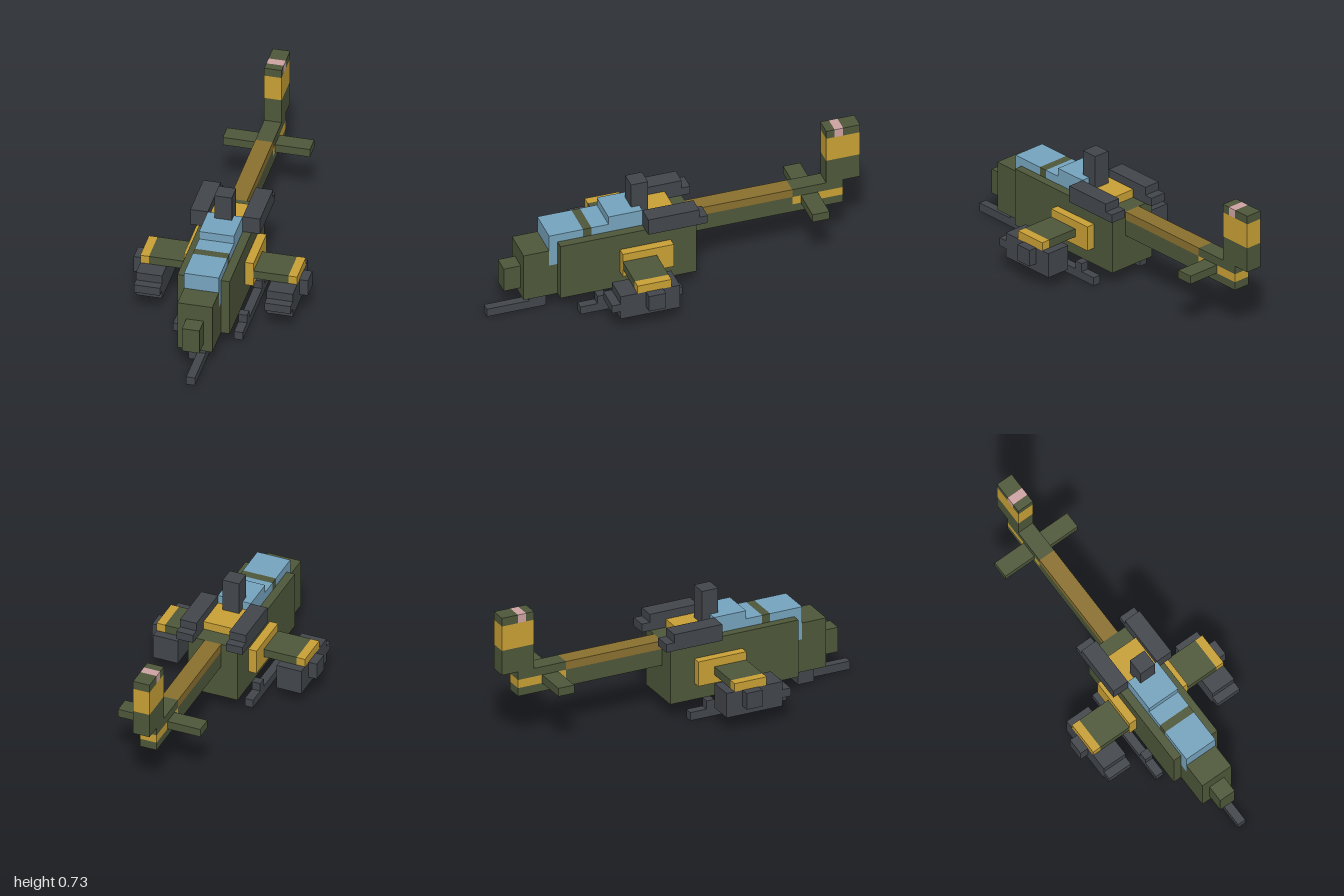
import * as THREE from 'three';

const U = 1 / 22; // one block

const paint = (name, color) => {
  const m = new THREE.MeshStandardMaterial({ color });
  m.name = name;
  return m;
};

export function createModel() {
  const green = paint('olive green', 0x4e573a);
  const dark = paint('gunmetal', 0x42464b);
  const yellow = paint('ochre yellow', 0xc8a035);
  const brown = paint('boom brown', 0x8a702f);
  const blue = paint('glass blue', 0x76a4be);
  const pink = paint('beacon pink', 0xcfa3a3);

  const model = new THREE.Group();
  model.name = 'helicopter';

  // Box given by its lower and upper limits, in blocks
  const box = (name, mat, [x0, x1], [y0, y1], [z0, z1]) => {
    const mesh = new THREE.Mesh(
      new THREE.BoxGeometry((x1 - x0) * U, (y1 - y0) * U, (z1 - z0) * U), mat);
    mesh.position.set((x0 + x1) / 2 * U, (y0 + y1) / 2 * U, (z0 + z1) / 2 * U);
    mesh.name = name;
    model.add(mesh);
  };
  // Same box on both sides
  const pair = (name, mat, [x0, x1], y, z) => {
    box(name + 'Left', mat, [x0, x1], y, z);
    box(name + 'Right', mat, [-x1, -x0], y, z);
  };

  // Fuselage and nose
  box('fuselage', green, [-3, 3], [2, 9], [-2, 14]);
  box('noseRear', green, [-2, 2], [2, 6], [14, 15]);
  box('nose', green, [-2, 2], [2, 8], [15, 18]);
  box('noseSensor', green, [-1, 1], [3, 6], [18, 20]);

  // Canopy with a dividing frame
  box('windscreen', blue, [-2, 2], [6, 10], [14, 15]);
  box('frontCanopy', blue, [-2, 2], [9, 10], [11, 14]);
  box('canopyFrame', green, [-2, 2], [9, 10], [10, 11]);
  box('midCanopy', blue, [-2, 2], [9, 10], [8, 10]);
  box('rearCanopy', blue, [-2, 2], [9, 11], [4, 8]);

  // Engine deck, rotor mast and engines
  box('engineDeck', yellow, [-2, 2], [9, 10], [0, 4]);
  box('rotorMast', dark, [-1, 1], [10, 14], [3, 5]);
  pair('engine', dark, [2, 4], [9, 11], [-2, 4]);
  pair('exhaust', dark, [2, 4], [9, 10], [-3, -2]);

  // Chin gun
  box('gunMount', dark, [-1, 1], [0, 2], [15, 17]);
  box('gunBarrel', dark, [0, 1], [0, 1], [17, 22]);

  // Stub wings with weapon pods
  pair('wingRoot', yellow, [3, 4], [4, 7], [1, 7]);
  pair('wing', green, [4, 8], [5, 6], [3, 7]);
  pair('wingTip', yellow, [8, 9], [5, 6], [3, 7]);
  pair('pod', dark, [6, 9], [2, 5], [2, 9]);
  pair('podNose', dark, [6, 9], [3, 4], [9, 10]);
  pair('podSide', dark, [9, 10], [3, 5], [4, 6]);

  // Landing skids
  pair('skid', dark, [3, 4], [0, 1], [0, 12]);
  for (const z of [2, 9]) pair('skidStrut', dark, [3, 4], [1, 2], [z, z + 1]);

  // Tail boom
  box('boomLower', green, [-1, 1], [6, 8], [-14, -2]);
  box('boomSpine', brown, [-1, 1], [8, 9], [-14, -2]);
  box('tailBottom', green, [-1, 1], [6, 7], [-20, -14]);
  box('tailBand', yellow, [-1, 1], [7, 8], [-20, -14]);
  box('tailTop', green, [-1, 1], [8, 9], [-20, -14]);
  pair('tailplane', green, [1, 5], [7, 8], [-17, -15]);

  // Tail fin with band and beacon
  box('finBase', green, [-1, 1], [9, 12], [-22, -18]);
  box('finBand', yellow, [-1, 1], [12, 15], [-22, -18]);
  box('finTipFront', green, [-1, 1], [15, 16], [-19, -18]);
  box('finBeacon', pink, [-1, 1], [15, 16], [-20, -19]);
  box('finTipRear', green, [-1, 1], [15, 16], [-22, -20]);

  return model;
}
